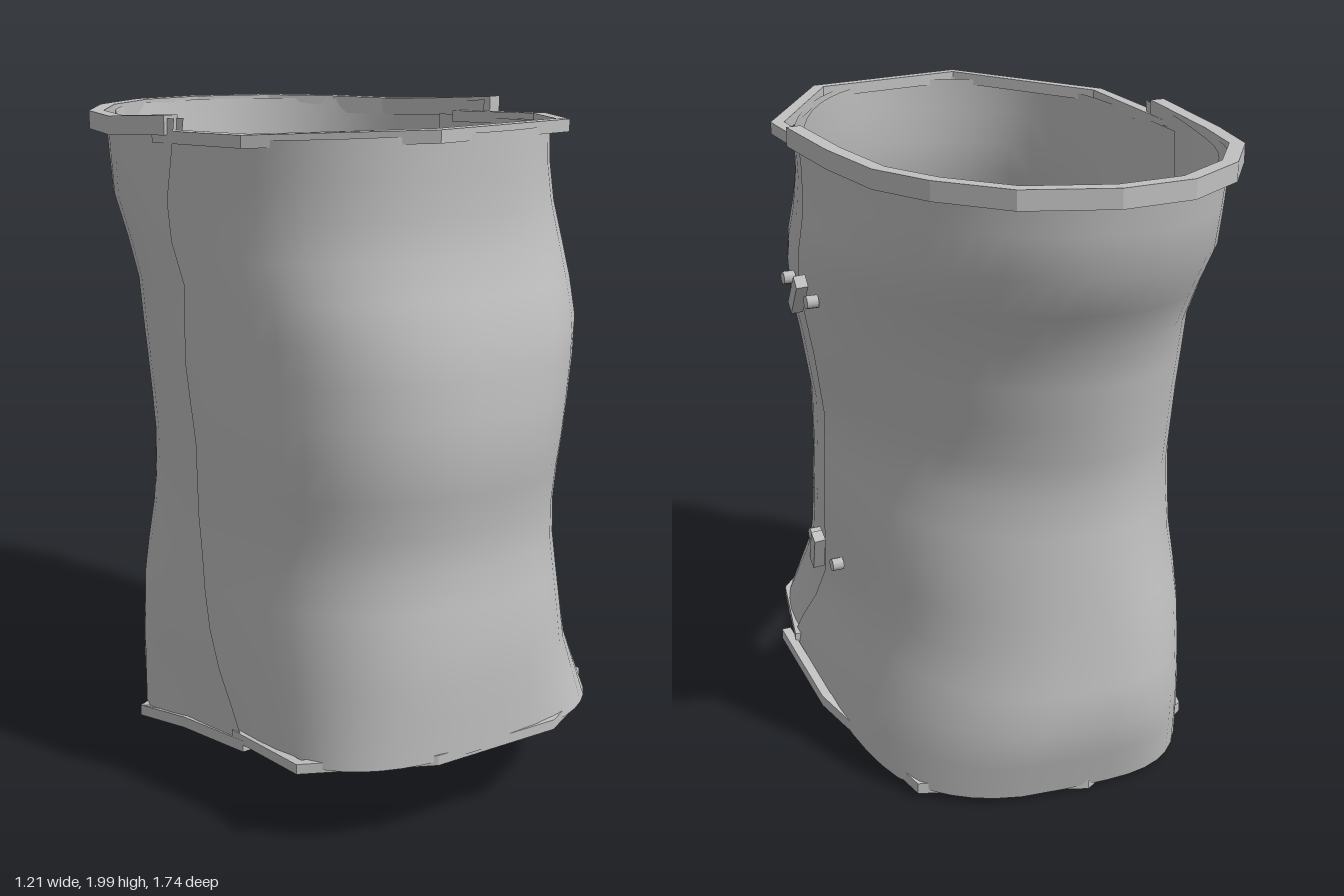
import * as THREE from 'three';

const steel = new THREE.MeshStandardMaterial({ color: 0xc0c0c0, side: THREE.DoubleSide });
steel.name = 'plain steel';

// Piecewise-linear lookup in a table of [key, value] with rising keys
function look(table, k) {
  if (k <= table[0][0]) return table[0][1];
  for (let i = 1; i < table.length; i++) {
    const [k0, v0] = table[i - 1], [k1, v1] = table[i];
    if (k <= k1) return v0 + (v1 - v0) * (k - k0) / (k1 - k0);
  }
  return table[table.length - 1][1];
}

// Sleeve outline by height
const rightX = [[0.1, 0.55], [0.25, 0.535], [0.5, 0.472], [0.8, 0.49], [1.08, 0.475], [1.4, 0.535], [1.65, 0.57], [1.85, 0.55], [1.97, 0.555]];
const leftX = [[0.2, -0.6], [0.5, -0.605], [0.8, -0.59], [1.1, -0.603], [1.6, -0.605], [1.97, -0.595]];
const frontZ = [[0.26, 0.867], [0.55, 0.867], [0.85, 0.823], [1.13, 0.866], [1.41, 0.846], [1.69, 0.757], [1.97, 0.75]];
const backZ = [[0.02, -0.575], [0.26, -0.645], [0.6, -0.61], [1.0, -0.57], [1.47, -0.67], [1.7, -0.81], [1.95, -0.845]];
const seamZ = [[0.22, 0.36], [0.45, 0.21], [0.65, 0.15], [0.85, 0.12], [1.08, 0.13], [1.3, 0.085], [1.53, 0.09], [1.7, -0.01], [1.97, 0.04]];
// Squareness of the section by height
const frontPower = [[0.26, 2.75], [0.8, 2.3], [1.4, 2.5], [1.95, 2.05]];
const backPower = [[0.05, 3.1], [0.3, 2.6], [0.8, 2.05], [1.2, 1.95], [1.6, 2.05], [1.95, 2.3]];

// Edge heights by depth
const frontTop = [[0.04, 1.93], [0.75, 1.975]];
const frontBottom = [[0.36, 0.225], [0.865, 0.27]];
const backTop = [[-0.85, 1.955], [-0.35, 1.955], [0.04, 1.985]];
const backBottom = [[-0.6, 0.015], [-0.35, 0.04], [0, 0.15], [0.36, 0.21]];

function outline(angle, y, inset) {
  const c = Math.cos(angle), s = Math.sin(angle);
  const n = s > 0 ? look(frontPower, y) - 0.4 * c : look(backPower, y) + 0.1 * c;
  const xl = look(leftX, y), xr = look(rightX, y), zc = look(seamZ, y);
  const depth = s > 0 ? look(frontZ, y) - zc : (zc - look(backZ, y)) * (1 - 0.1 * c);
  const bend = v => Math.sign(v) * Math.abs(v) ** (2 / n);
  return [(xl + xr) / 2 + ((xr - xl) / 2 - inset) * bend(c), zc + (depth - inset) * bend(s)];
}

// Grid of points to a surface; rows run along the angle, columns upward
function grid(points, cols) {
  const index = [], rows = points.length / 3 / cols;
  for (let i = 0; i < rows - 1; i++) {
    for (let j = 0; j < cols - 1; j++) {
      const a = i * cols + j, b = a + cols;
      index.push(a, a + 1, b, b, a + 1, b + 1);
    }
  }
  const g = new THREE.BufferGeometry();
  g.setAttribute('position', new THREE.Float32BufferAttribute(points, 3));
  g.setIndex(index);
  return g;
}

// Curved half wall between two angles
function wall(name, from, to, bottom, top, inset) {
  const points = [], segments = 28, rows = 16;
  for (let i = 0; i <= segments; i++) {
    const angle = from + (to - from) * i / segments;
    for (let j = 0; j <= rows; j++) {
      let y = 0.2 + 1.75 * j / rows, p;
      for (let pass = 0; pass < 6; pass++) {
        p = outline(angle, y, inset);
        const lo = look(bottom, p[1]), hi = look(top, p[1]);
        y = lo + (hi - lo) * j / rows;
      }
      points.push(p[0], y, p[1]);
    }
  }
  const g = grid(points, rows + 1);
  g.computeVertexNormals();
  const mesh = new THREE.Mesh(g, steel);
  mesh.name = name;
  return mesh;
}

// Plate with an outer face and a lining
function plate(name, from, to, bottom, top, inset) {
  const group = new THREE.Group();
  group.name = name;
  group.add(wall('outerFace', from, to, bottom, top, inset));
  group.add(wall('innerFace', from, to, bottom, top, inset + 0.03));
  return group;
}

// Faceted strip of rectangular section along an outer path of [x, z]
function rim(name, path, heights, lift, height, thick) {
  const points = [];
  path.forEach(([x, z], i) => {
    const a = path[Math.max(i - 1, 0)], b = path[Math.min(i + 1, path.length - 1)];
    const dx = b[0] - a[0], dz = b[1] - a[1], l = Math.hypot(dx, dz);
    const ix = x - thick * dz / l, iz = z + thick * dx / l;
    const y0 = look(heights, z) + lift, y1 = y0 + height;
    points.push(x, y0, z, x, y1, z, ix, y1, iz, ix, y0, iz, x, y0, z);
  });
  const base = grid(points, 5);
  const last = points.length / 3 - 5;
  base.setIndex([...base.index.array, 0, 2, 1, 0, 3, 2, last, last + 1, last + 2, last, last + 2, last + 3]);
  const g = base.toNonIndexed();
  g.computeVertexNormals();
  const mesh = new THREE.Mesh(g, steel);
  mesh.name = name;
  return mesh;
}

// Tilted bar with a stud on either side
function clasp(name, x, y, z, tilt, length, studs) {
  const group = new THREE.Group();
  group.name = name;
  const bar = new THREE.Mesh(new THREE.BoxGeometry(0.035, length, 0.04), steel);
  bar.name = 'claspBar';
  bar.position.set(x, y, z);
  bar.rotation.set(tilt, 0, -0.1);
  group.add(bar);
  for (const [sx, sy, sz] of studs) {
    const stud = new THREE.Mesh(new THREE.CylinderGeometry(0.02, 0.02, 0.035, 8), steel);
    stud.name = 'claspStud';
    stud.rotation.z = Math.PI / 2;
    stud.position.set(sx, sy, sz);
    group.add(stud);
  }
  return group;
}

export function createModel() {
  const model = new THREE.Group();
  model.name = 'armSleeve';

  // Back plate overlaps the slightly smaller front plate at both seams
  model.add(plate('frontPlate', -0.2, Math.PI + 0.2, frontBottom, frontTop, 0.01));
  model.add(plate('backPlate', Math.PI, Math.PI * 2, backBottom, backTop, 0));

  // Rims
  model.add(rim('frontTopRim',
    [[0.53, -0.08], [0.555, 0.29], [0.29, 0.68], [-0.22, 0.75], [-0.58, 0.36], [-0.6, -0.08]],
    frontTop, -0.02, 0.035, 0.04));
  model.add(rim('backTopRim',
    [[-0.605, 0], [-0.605, -0.33], [-0.56, -0.54], [-0.42, -0.73], [-0.22, -0.855], [0, -0.87],
      [0.25, -0.78], [0.41, -0.6], [0.5, -0.42], [0.55, -0.2], [0.585, 0.04]],
    backTop, -0.045, 0.055, 0.045));
  model.add(rim('frontBottomRim',
    [[0.55, 0.3], [0.49, 0.6], [0.34, 0.76], [0.14, 0.865], [-0.27, 0.845], [-0.6, 0.63], [-0.605, 0.3]],
    frontBottom, -0.01, 0.03, 0.03));
  model.add(rim('backBottomRim',
    [[-0.605, 0.36], [-0.605, 0.02], [-0.56, -0.34], [-0.1, -0.585], [0.4, -0.42], [0.56, 0], [0.575, 0.37]],
    backBottom, -0.012, 0.035, 0.03));

  // Seam clasps
  model.add(clasp('upperClasp', 0.577, 1.51, 0.02, -0.8, 0.16, [[0.56, 1.52, 0.165], [0.56, 1.505, -0.05]]));
  model.add(clasp('lowerClasp', 0.522, 0.64, 0.105, -0.5, 0.14, [[0.495, 0.645, 0.21], [0.495, 0.63, 0]]));
  return model;
}
